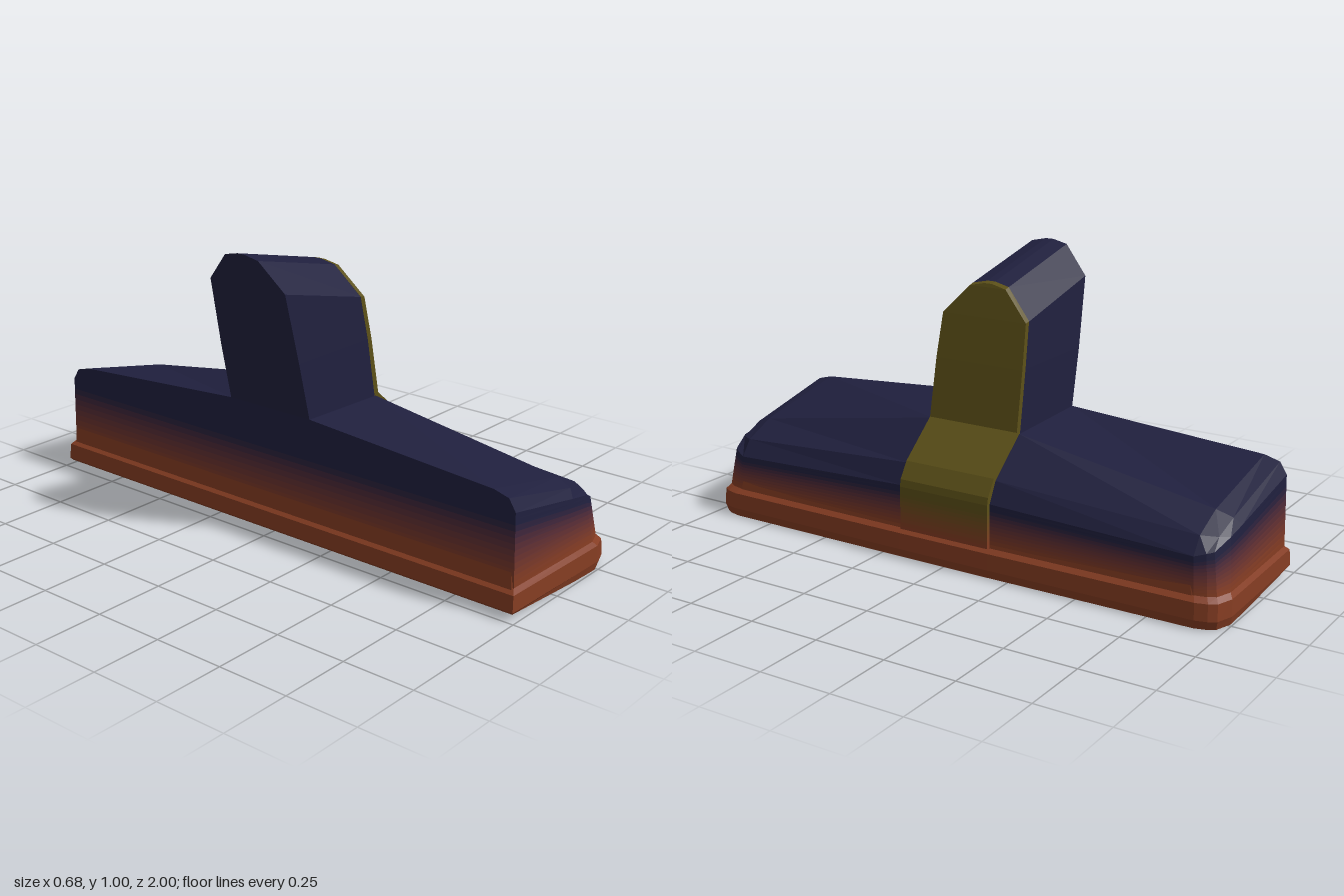
import * as THREE from 'three';

const BLUE = new THREE.Color(0x20203e);
const ORANGE = new THREE.Color(0x843c22);
const OLIVE = new THREE.Color(0x5c5018);

// Surface through rows of [x, y, z] points; options close the rows into rings or fill the last row
function loft(name, color, rows, { closed = false, fillLast = false } = {}) {
  const n = rows[0].length, index = [];
  for (let r = 0; r < rows.length - 1; r++) {
    for (let i = 0; i < (closed ? n : n - 1); i++) {
      const a = r * n + i, b = r * n + (i + 1) % n;
      index.push(a, b, b + n, a, b + n, a + n);
    }
  }
  if (fillLast) {
    const s = (rows.length - 1) * n;
    for (let i = 1; i < n - 1; i++) index.push(s, s + i, s + i + 1);
  }
  const indexed = new THREE.BufferGeometry();
  indexed.setAttribute('position', new THREE.Float32BufferAttribute(rows.flat(2), 3));
  indexed.setIndex(index);
  const geometry = indexed.toNonIndexed();
  geometry.computeVertexNormals();
  const mesh = new THREE.Mesh(geometry, new THREE.MeshStandardMaterial({
    color, flatShading: true, side: THREE.DoubleSide }));
  mesh.name = name;
  return mesh;
}

const mirrorZ = (list) => [...list, ...list.slice().reverse().map(([x, y, z]) => [x, y, -z])];
const mix = (a, b, t) => a.map((v, i) => v + (b[i] - v) * t);
const fade = (color, t) => ORANGE.clone().lerp(color, THREE.MathUtils.clamp((t - 0.08) / 0.75, 0, 1));

export function createModel() {
  const model = new THREE.Group();
  model.name = 'wedgeHull';

  // Plan of the hull wall at its foot, and the higher shoulder ring above it
  const foot = mirrorZ([[-0.215, 0.1, 0.975], [0.12, 0.1, 0.983], [0.23, 0.1, 0.985],
    [0.285, 0.1, 0.965], [0.3, 0.1, 0.94], [0.31, 0.1, 0.9], [0.315, 0.1, 0.175]]);
  const shoulder = mirrorZ([[-0.215, 0.345, 0.97], [0.12, 0.28, 0.967], [0.2, 0.265, 0.965],
    [0.27, 0.235, 0.945], [0.285, 0.23, 0.925], [0.3, 0.22, 0.89], [0.315, 0.25, 0.175]]);

  // Hull wall in thin bands that blend from orange to blue
  const walls = new THREE.Group();
  walls.name = 'hullWall';
  const BANDS = 12;
  const level = (t) => foot.map((p, i) => mix(p, shoulder[i], t));
  for (let k = 0; k < BANDS; k++) {
    walls.add(loft('wallBand', fade(BLUE, (k + 0.5) / BANDS),
      [level(k / BANDS), level((k + 1) / BANDS)], { closed: true }));
  }
  model.add(walls);

  // Sloping hull top: cross-sections from back to front, first point on the back shoulder
  const half = [
    [[-0.215, 0.345, 0.97], [0.12, 0.28, 0.967], [0.2, 0.265, 0.965], [0.27, 0.235, 0.945]],
    [[-0.215, 0.385, 0.945], [0.14, 0.305, 0.945], [0.23, 0.27, 0.94], [0.285, 0.23, 0.925]],
    [[-0.215, 0.4, 0.89], [0.15, 0.325, 0.89], [0.26, 0.275, 0.89], [0.3, 0.22, 0.89]],
    [[-0.215, 0.45, 0.175], [0.135, 0.44, 0.175], [0.28, 0.32, 0.175], [0.315, 0.25, 0.175]],
  ].map((row) => [[-0.215, 0.345, row[0][2]], ...row]);
  const otherHalf = half.slice().reverse().map((row) => row.map(([x, y, z]) => [x, y, -z]));
  model.add(loft('hullTop', BLUE, [...half, ...otherHalf]));

  // Projecting rim around the foot
  const rimRing = (y, kx, kz) => foot.map(([x, , z]) => [0.05 + (x - 0.05) * kx, y, z * kz]);
  const bottom = rimRing(0, 1.055, 1.008).map(([x, , z]) => [x, Math.max(0, 0.0087 - 0.051 * x), z]);
  model.add(loft('rim', ORANGE,
    [bottom, rimRing(0.03, 1.09, 1.015), rimRing(0.085, 1.07, 1.012), foot], { closed: true }));

  // Hollow underside
  const ceiling = foot.map(([x, , z]) => {
    const cx = 0.05 + (x - 0.05) * 0.96;
    return [cx, 0.222 - 0.1 * cx, z * 0.975];
  });
  model.add(loft('cavity', ORANGE,
    [bottom.slice().reverse(), ceiling.slice().reverse()], { closed: true, fillLast: true }));

  // Leaning fin with an arched top
  const finFront = mirrorZ([[0.13, 0.44, 0.173], [0.092, 0.65, 0.17], [0.06, 0.803, 0.163],
    [0.037, 0.903, 0.07], [0.033, 0.915, 0.015]]);
  const finBack = mirrorZ([[-0.215, 0.45, 0.173], [-0.262, 0.65, 0.17], [-0.317, 0.89, 0.16],
    [-0.342, 0.988, 0.07], [-0.345, 1.0, 0.015]]);
  model.add(loft('fin', BLUE, [finFront, finBack], { fillLast: true }));

  // Olive strip down the front: [x, y, half width, inward dx, inward dy]
  const stripRow = ([x, y, w, dx, dy]) =>
    [[x + dx, y + dy, w], [x, y, w], [x, y, -w], [x + dx, y + dy, -w]];
  model.add(loft('frontStrip', OLIVE, [
    [0.33, 0.25, 0.173, -0.02, 0], [0.325, 0.275, 0.173, -0.02, -0.01],
    [0.29, 0.33, 0.173, -0.015, -0.02], [0.15, 0.448, 0.173, -0.02, -0.01],
    [0.112, 0.65, 0.17, -0.02, 0.002], [0.08, 0.8, 0.163, -0.02, 0.004],
    [0.057, 0.898, 0.07, -0.02, 0.005], [0.053, 0.91, 0.015, -0.02, 0.005],
    [0.053, 0.91, 0, -0.02, 0.005],
  ].map(stripRow)));

  // Lower end of the strip, fading into the rim
  const stripFoot = new THREE.Group();
  stripFoot.name = 'frontStripFoot';
  for (let k = 0; k < BANDS; k++) {
    const rows = [k, k + 1].map((j) => stripRow([0.33, 0.1 + 0.15 * j / BANDS, 0.173, -0.02, 0]));
    stripFoot.add(loft('stripBand', fade(OLIVE, (k + 0.5) / BANDS), rows));
  }
  model.add(stripFoot);

  return model;
}
